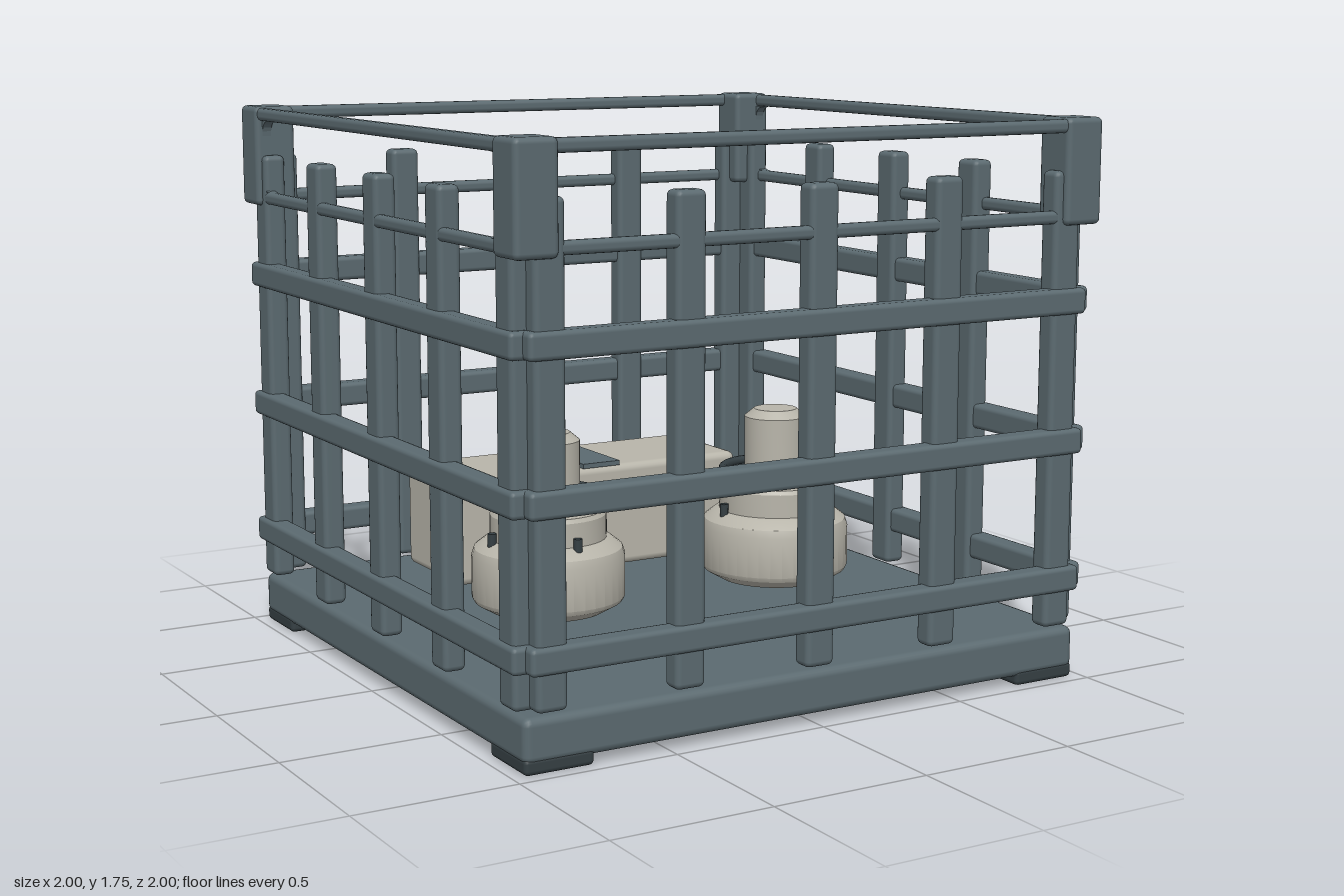
import * as THREE from 'three';
import { toCreasedNormals } from 'three/addons/utils/BufferGeometryUtils.js';
import { RoundedBoxGeometry } from 'three/addons/geometries/RoundedBoxGeometry.js';

export function createModel() {
  const model = new THREE.Group();
  model.name = 'slattedCrate';
  const material = (name, color) => {
    const m = new THREE.MeshStandardMaterial({ color });
    m.name = name;
    return m;
  };
  const slate = material('slate', 0x5b6a70);
  const cream = material('cream', 0xb8b5aa);
  const dark = material('darkSlate', 0x353f43);

  const add = (parent, name, geometry, mat, x = 0, y = 0, z = 0) => {
    const mesh = new THREE.Mesh(geometry, mat);
    mesh.name = name;
    mesh.position.set(x, y, z);
    parent.add(mesh);
    return mesh;
  };
  // Rounded box given by its low and high corners
  const block = (parent, name, mat, [x0, x1], [y0, y1], [z0, z1], r) =>
    add(parent, name, new RoundedBoxGeometry(x1 - x0, y1 - y0, z1 - z0, 2, r), mat,
      (x0 + x1) / 2, (y0 + y1) / 2, (z0 + z1) / 2);

  // Base tray and feet
  block(model, 'base', slate, [-0.967, 0.967], [0.03, 0.165], [-0.967, 0.967], 0.025);
  for (const sx of [-1, 1]) for (const sz of [-1, 1]) {
    add(model, 'foot', new RoundedBoxGeometry(0.22, 0.05, 0.22, 2, 0.015), dark,
      sx * 0.855, 0.026, sz * 0.855);
    add(model, 'cornerBracket', new RoundedBoxGeometry(0.137, 0.325, 0.137, 2, 0.018), slate,
      sx * 0.9315, 1.5925, sz * 0.9315);
  }

  // Four walls, each built facing +z and turned into place
  for (let i = 0; i < 4; i++) {
    const wall = new THREE.Group();
    wall.name = ['frontWall', 'leftWall', 'backWall', 'rightWall'][i];
    wall.rotation.y = i * Math.PI / 2;
    model.add(wall);
    for (const x of [-0.885, -0.4425, 0, 0.4425, 0.885])
      block(wall, 'slat', slate, [x - 0.049, x + 0.049], [0.178, 1.595], [0.91, 0.982], 0.018);
    for (const y of [0.328, 0.762, 1.197])
      block(wall, 'rail', slate, [-0.957, 0.957], [y - 0.04, y + 0.04], [0.925, 0.996], 0.015);
    block(wall, 'upperRail', slate, [-0.93, 0.93], [1.435, 1.475], [0.94, 0.98], 0.015);
    block(wall, 'topRail', slate, [-0.93, 0.93], [1.709, 1.75], [0.947, 0.992], 0.015);

    // Side walls have rounded fillets between the brackets and the rails
    if (i % 2) {
      for (const sx of [-1, 1]) for (const [y, sy] of [[1.475, 1], [1.709, -1]]) {
        const c = 0.05;
        const s = new THREE.Shape();
        s.moveTo(0, 0);
        s.lineTo(-sx * c, 0);
        s.quadraticCurveTo(0, 0, 0, sy * c);
        s.closePath();
        add(wall, 'fillet', new THREE.ExtrudeGeometry(s, { depth: 0.03, bevelEnabled: false, curveSegments: 6 }),
          slate, sx * 0.863, y, 0.947);
      }
    }
  }

  // Storage box with a strap plate on its lid
  block(model, 'storageBox', cream, [-0.537, 0.535], [0.195, 0.545], [-0.737, -0.337], 0.025);
  add(model, 'strap', new THREE.BoxGeometry(0.14, 0.016, 0.405), slate, -0.002, 0.552, -0.537);

  // Two round housings with a neck, a ring and four bolts
  const profile = [
    [0, 0.225], [0.18, 0.225], [0.232, 0.255], [0.24, 0.27], [0.24, 0.4], [0.232, 0.425],
    [0.2, 0.45], [0.182, 0.455], [0.182, 0.53], [0.174, 0.543], [0.1, 0.543],
    [0.1, 0.76], [0.07, 0.785], [0, 0.785],
  ].map(([x, y]) => new THREE.Vector2(x, y));
  const body = toCreasedNormals(new THREE.LatheGeometry(profile, 40), 0.5);
  for (const x of [-0.455, 0.386]) {
    const housing = new THREE.Group();
    housing.name = 'roundHousing';
    housing.position.set(x, 0, 0.138);
    model.add(housing);
    add(housing, 'housingBody', body, cream);
    add(housing, 'ring', new THREE.TorusGeometry(0.17, 0.014, 10, 40), dark, 0, 0.585)
      .rotation.x = Math.PI / 2;
    for (let k = 0; k < 4; k++) {
      const a = k * Math.PI / 2;
      add(housing, 'bolt', new THREE.CylinderGeometry(0.014, 0.014, 0.05, 10), dark,
        0.195 * Math.cos(a), 0.46, 0.195 * Math.sin(a));
    }
  }
  return model;
}
